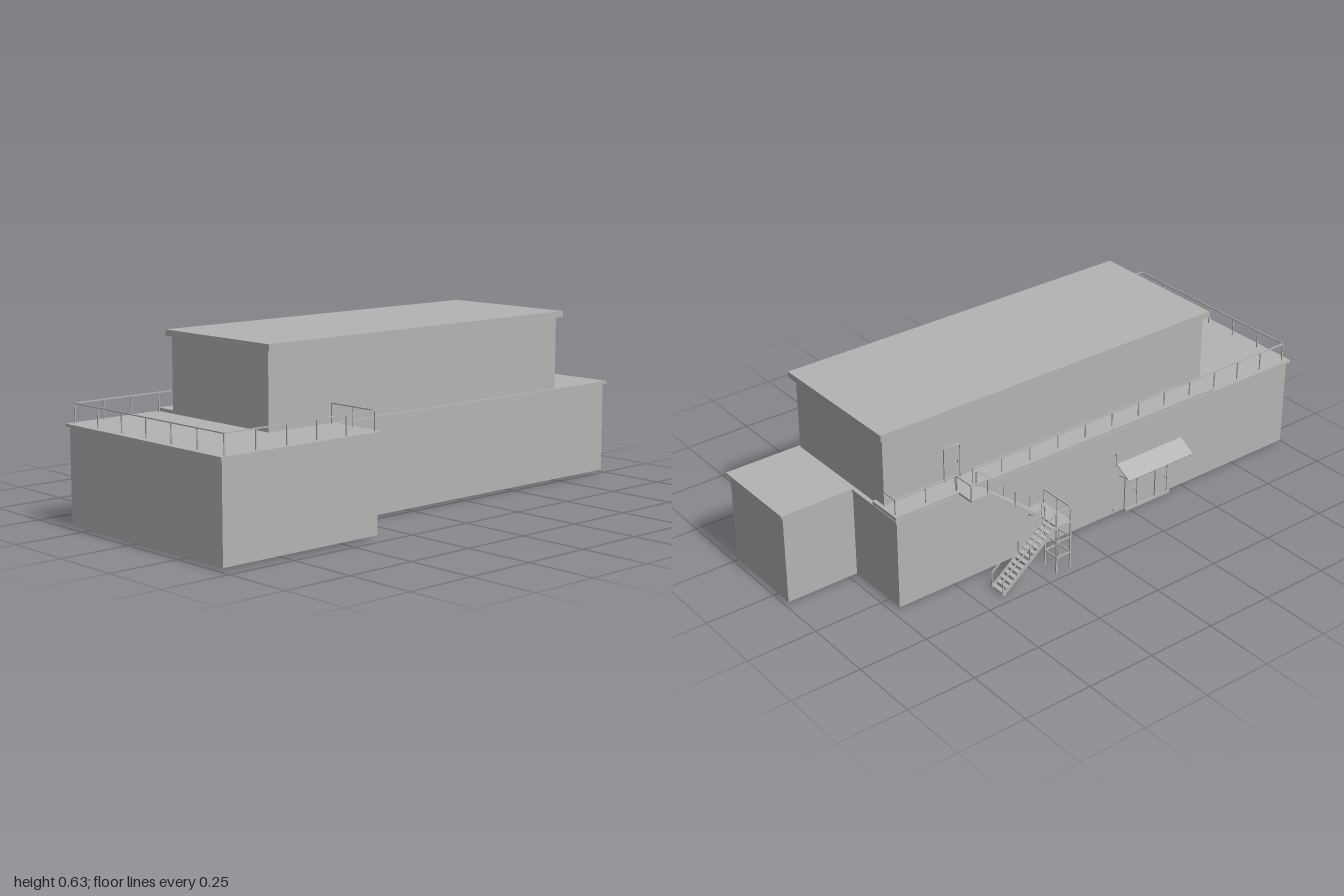
import * as THREE from 'three';

export function createModel() {
  const root = new THREE.Group();
  const grey = new THREE.MeshStandardMaterial({ color: 0xb4b4b4 });
  grey.name = 'plain grey';

  const group = (name, parent = root) => {
    const g = new THREE.Group();
    g.name = name;
    parent.add(g);
    return g;
  };
  // Box given by its extents on each axis
  const box = (name, x0, x1, y0, y1, z0, z1, parent = root) => {
    const m = new THREE.Mesh(new THREE.BoxGeometry(x1 - x0, y1 - y0, z1 - z0), grey);
    m.position.set((x0 + x1) / 2, (y0 + y1) / 2, (z0 + z1) / 2);
    m.name = name;
    parent.add(m);
    return m;
  };
  // Rectangular bar between two points
  const bar = (name, a, b, parent, w = 0.004, h = w) => {
    const p = new THREE.Vector3(...a), q = new THREE.Vector3(...b);
    const m = new THREE.Mesh(new THREE.BoxGeometry(w, h, p.distanceTo(q)), grey);
    m.position.copy(p).lerp(q, 0.5);
    m.lookAt(q.x === p.x && q.z === p.z ? q.clone().add(new THREE.Vector3(0, 0, 1e-6)) : q);
    m.name = name;
    parent.add(m);
  };
  // Footprint in x and z, raised from y0 to y1
  const slab = (name, points, y0, y1) => {
    const shape = new THREE.Shape(points.map(([x, z]) => new THREE.Vector2(x, -z)));
    const g = new THREE.ExtrudeGeometry(shape, { depth: y1 - y0, bevelEnabled: false });
    g.rotateX(-Math.PI / 2).translate(0, y0, 0);
    const m = new THREE.Mesh(g, grey);
    m.name = name;
    root.add(m);
  };

  // Ground floor and its overhanging roof edge
  const footprint = (o) => [
    [-0.99 - o, -0.32 - o], [0.725 + o, -0.32 - o], [0.725 + o, -0.075 - o], [0.99 + o, -0.075 - o],
    [0.99 + o, 0.243 + o], [-0.363 + o, 0.243 + o], [-0.363 + o, 0.458 + o], [-0.99 - o, 0.458 + o],
  ];
  slab('groundFloorWalls', footprint(0), 0.01, 0.335);
  slab('lowerRoof', footprint(0.01), 0.335, 0.345);
  box('backWalkway', -0.63, 0.733, 0.345, 0.357, -0.328, -0.2);

  // Upper storey
  box('upperStoreyWalls', -0.63, 0.72, 0.345, 0.605, -0.247, 0.244);
  box('upperRoof', -0.642, 0.737, 0.605, 0.626, -0.266, 0.262);

  // Door: thin leaf inside a frame, lying in a wall facing the given angle
  const door = (name, x, y, z, w, h, angle) => {
    const g = group(name);
    g.position.set(x, y, z);
    g.rotation.y = angle;
    const t = 0.005;
    box('doorLeaf', -w / 2 + t, w / 2 - t, 0, h - t, 0, 0.002, g);
    box('doorHead', -w / 2, w / 2, h - t, h, 0, 0.005, g);
    for (const s of [-1, 1]) {
      const c = s * (w / 2 - t / 2);
      box('doorJamb', c - t / 2, c + t / 2, 0, h - t, 0, 0.005, g);
    }
    box('doorHandle', w / 2 - 0.014, w / 2 - 0.009, h * 0.45, h * 0.53, 0.002, 0.006, g);
  };
  door('sideDoor', -0.363, 0.01, 0.353, 0.066, 0.143, Math.PI / 2);
  door('upperDoor', 0.455, 0.357, -0.247, 0.068, 0.123, Math.PI);
  door('backDoorLeft', -0.255, 0.01, -0.32, 0.06, 0.13, Math.PI);
  door('backDoorRight', -0.395, 0.01, -0.32, 0.06, 0.13, Math.PI);
  box('doorStep', -0.435, -0.23, 0, 0.01, -0.326, -0.315);

  // Sloping canopy with brackets
  const canopy = group('canopy');
  bar('canopySheet', [-0.335, 0.205, -0.32], [-0.335, 0.168, -0.385], canopy, 0.295, 0.003);
  for (const x of [-0.47, -0.38, -0.29, -0.2]) {
    bar('canopyBracket', [x, 0.155, -0.32], [x, 0.168, -0.38], canopy, 0.003);
    bar('canopyRafter', [x, 0.2, -0.32], [x, 0.164, -0.383], canopy, 0.003);
  }
  bar('canopyRail', [-0.47, 0.166, -0.38], [-0.2, 0.166, -0.38], canopy, 0.003);

  // Wall lamp and small vent beside the doors
  const lamp = group('wallLamp');
  bar('lampPole', [-0.185, 0.2, -0.323], [-0.185, 0.25, -0.323], lamp, 0.003);
  box('lampHead', -0.19, -0.18, 0.243, 0.252, -0.328, -0.32, lamp);
  box('wallVent', -0.2, -0.175, 0.02, 0.03, -0.324, -0.318);

  // Roof railings: a top rail on evenly spaced posts
  const rails = group('roofRailings');
  const railing = (a, b, n, y0, y1 = 0.411) => {
    bar('topRail', [a[0], y1, a[1]], [b[0], y1, b[1]], rails);
    for (let i = 0; i <= n; i++) {
      const x = a[0] + (b[0] - a[0]) * i / n, z = a[1] + (b[1] - a[1]) * i / n;
      bar('railPost', [x, y0, z], [x, y1, z], rails);
    }
  };
  railing([-0.975, 0.452], [-0.37, 0.452], 5, 0.345);
  railing([-0.37, 0.452], [-0.37, 0.252], 2, 0.345);
  railing([-0.975, 0.452], [-0.975, -0.311], 6, 0.345);
  railing([-0.975, -0.311], [-0.64, -0.311], 3, 0.345);
  railing([-0.64, -0.311], [0.42, -0.311], 9, 0.357);
  railing([0.488, -0.311], [0.722, -0.311], 2, 0.357);
  railing([0.722, -0.311], [0.722, -0.25], 1, 0.357);

  // Outside stair: two parallel flights joined by a landing
  const stair = group('outsideStair');
  const flight = (xTop, yTop, xEnd, yEnd, z0, z1) => {
    const n = 14, g = group('stairFlight', stair), rise = 0.055;
    for (let i = 0; i < n; i++) {
      const t = (i + 0.5) / n, x = xTop + (xEnd - xTop) * t, y = yTop + (yEnd - yTop) * t;
      box('tread', x - 0.008, x + 0.008, y - 0.0015, y + 0.0015, z0, z1, g);
    }
    for (const z of [z0, z1]) {
      bar('stringer', [xTop, yTop, z], [xEnd, yEnd, z], g, 0.003, 0.012);
      bar('handrail', [xTop, yTop + rise, z], [xEnd, yEnd + rise, z], g);
      for (const t of [0, 0.5, 1]) {
        const x = xTop + (xEnd - xTop) * t, y = yTop + (yEnd - yTop) * t;
        bar('handrailPost', [x, y, z], [x, y + rise, z], g);
      }
    }
  };
  flight(0.42, 0.355, 0.2, 0.181, -0.392, -0.331);
  flight(0.2, 0.181, 0.42, 0.006, -0.468, -0.408);

  // Top landing with its railing
  box('topLanding', 0.42, 0.488, 0.35, 0.357, -0.395, -0.32, stair);
  railing([0.42, -0.392], [0.486, -0.392], 1, 0.357);
  railing([0.486, -0.392], [0.486, -0.315], 1, 0.357);

  // Middle landing with railing, legs and braces
  box('middleLanding', 0.138, 0.2, 0.176, 0.183, -0.47, -0.32, stair);
  railing([0.14, -0.33], [0.14, -0.468], 2, 0.183, 0.236);
  railing([0.14, -0.468], [0.2, -0.468], 1, 0.183, 0.236);
  for (const x of [0.14, 0.198]) {
    for (const z of [-0.468, -0.408]) bar('landingLeg', [x, 0, z], [x, 0.18, z], stair, 0.005);
    for (const y of [0.06, 0.12]) bar('legBrace', [x, y, -0.468], [x, y, -0.408], stair);
    bar('wallBrace', [x, 0.155, -0.32], [x, 0.178, -0.38], stair);
  }
  for (const z of [-0.468, -0.408])
    for (const y of [0.06, 0.12]) bar('legBrace', [0.14, y, z], [0.198, y, z], stair);

  return root;
}
